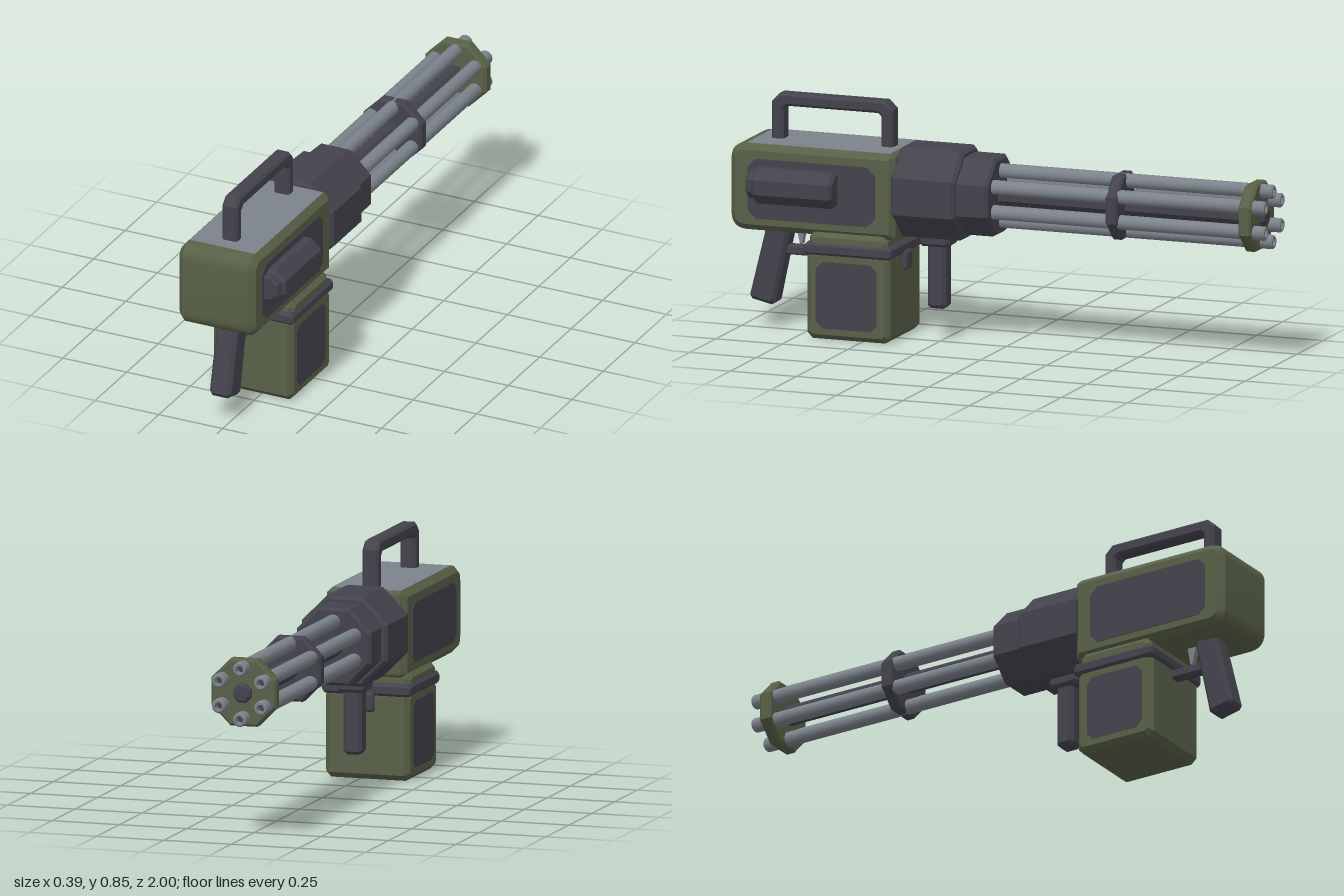
import * as THREE from 'three';
import { toCreasedNormals } from 'three/addons/utils/BufferGeometryUtils.js';

const CX = -0.03;   // centre plane of the body
const AY = 0.535;   // height of the barrel axis

export function createModel() {
  const group = new THREE.Group();
  group.name = 'rotaryGun';
  const mat = (name, color) => {
    const m = new THREE.MeshStandardMaterial({ color });
    m.name = name;
    return m;
  };
  const green = mat('oliveGreen', 0x586047);
  const dark = mat('darkGunmetal', 0x44434d);
  const steel = mat('steelGrey', 0x7b828a);

  const add = (name, geometry, material, parent = group) => {
    const mesh = new THREE.Mesh(geometry, material);
    mesh.name = name;
    parent.add(mesh);
    return mesh;
  };

  // Closed outline whose corners are cut (or rounded) by the radius of each point [x, y, r]
  const outline = (pts, round = false) => {
    const shape = new THREE.Shape();
    pts.forEach(([x, y, r = 0], i) => {
      const p = new THREE.Vector2(x, y);
      const toward = (q) => {
        const v = new THREE.Vector2(q[0], q[1]).sub(p);
        return v.setLength(r).add(p);
      };
      const a = toward(pts[(i + pts.length - 1) % pts.length]);
      const b = toward(pts[(i + 1) % pts.length]);
      if (i === 0) shape.moveTo(a.x, a.y); else shape.lineTo(a.x, a.y);
      if (r > 0 && round) shape.quadraticCurveTo(x, y, b.x, b.y);
      else if (r > 0) shape.lineTo(b.x, b.y);
    });
    shape.closePath();
    return shape;
  };

  const extrude = (shape, length, bevel) => new THREE.ExtrudeGeometry(shape, {
    depth: length - 2 * bevel, bevelEnabled: bevel > 0, bevelThickness: bevel, bevelSize: bevel,
    bevelOffset: -bevel, bevelSegments: 1, curveSegments: 6,
  }).translate(0, 0, bevel - length / 2);

  // Side profile given as [z, y, r], extruded across x
  const sidePart = (pts, width, bevel, x = CX, round = false) =>
    extrude(outline(pts.map(([z, y, r]) => [-z, y, r]), round), width, bevel)
      .rotateY(Math.PI / 2).translate(x, 0, 0);

  const rect = (z0, z1, y0, y1, r = 0) => [[z0, y0, r], [z1, y0, r], [z1, y1, r], [z0, y1, r]];

  // Bevelled octagonal prism along z, sized by the distance from centre to flat
  const octagon = (flat, z0, z1, bevel, x = CX, y = AY) => {
    const pts = [];
    for (let i = 0; i < 8; i++) {
      const a = Math.PI / 8 + i * Math.PI / 4, r = flat / Math.cos(Math.PI / 8);
      pts.push([r * Math.cos(a), r * Math.sin(a)]);
    }
    return extrude(outline(pts), z1 - z0, bevel).translate(x, y, (z0 + z1) / 2);
  };

  // Receiver with a rounded butt end and a flat top plate
  const body = [[0.38, 0.37, 0.02], [1, 0.37, 0.06], [1, 0.68, 0.06], [0.38, 0.68, 0.02]];
  add('receiver', toCreasedNormals(sidePart(body, 0.3, 0.022, CX, true), 0.5), green);
  add('topPlate', new THREE.BoxGeometry(0.256, 0.006, 0.54).translate(CX, 0.679, 0.67), steel);

  // Thin panels on both sides of the receiver and magazine
  for (const s of [1, -1]) {
    add('receiverPanel', sidePart(rect(0.45, 0.93, 0.415, 0.63, 0.03), 0.008, 0, CX + s * 0.149), dark);
    add('magazinePanel', sidePart(rect(0.44, 0.67, 0.04, 0.28, 0.025), 0.008, 0, CX + s * 0.154), dark);
  }

  // Motor pod on the left side
  add('motorPod', octagon(0.0635, 0.59, 0.895, 0.012, 0.127, 0.541), dark);
  add('motorPodCap', octagon(0.05, 0.88, 0.92, 0.008, 0.127, 0.543), dark);

  // Carrying handle
  add('carryHandle', sidePart([
    [0.43, 0.67], [0.43, 0.845, 0.03], [0.888, 0.845, 0.03], [0.888, 0.67],
    [0.843, 0.67], [0.843, 0.8, 0.012], [0.475, 0.8, 0.012], [0.475, 0.67],
  ].reverse(), 0.06, 0.009), dark);

  // Drum housing in two steps
  add('drumHousing', octagon(0.16, 0.148, 0.39, 0.012), dark);
  add('drumCollar', octagon(0.138, 0.03, 0.16, 0.01), dark);

  // Barrel cluster: six hollow barrels round a spindle, held by two rings
  const cluster = new THREE.Group();
  cluster.name = 'barrelCluster';
  group.add(cluster);
  const profile = [[0.026, -0.05], [0.026, 0.994], [0.021, 1], [0.014, 1], [0.014, 0.97], [0, 0.97]]
    .map(([r, l]) => new THREE.Vector2(r, l));
  const barrelGeo = toCreasedNormals(
    new THREE.LatheGeometry(profile, 12).rotateX(-Math.PI / 2), 0.6);
  for (let i = 0; i < 6; i++) {
    const a = Math.PI / 2 + i * Math.PI / 3;
    const x = CX + 0.09 * Math.cos(a), y = AY + 0.09 * Math.sin(a);
    add('barrel', barrelGeo, steel, cluster).position.set(x, y, 0);
    const bore = new THREE.CircleGeometry(0.0139, 12).rotateY(Math.PI);
    add('bore', bore, dark, cluster).position.set(x, y, -0.972);
  }
  add('spindle', octagon(0.033, -0.975, 0.05, 0.008), dark, cluster);
  add('middleRing', octagon(0.115, -0.45, -0.405, 0.008), dark, cluster);
  add('muzzleRing', octagon(0.12, -0.955, -0.908, 0.008), green, cluster);

  // Ammunition box with neck, rim and latch
  add('magazine', sidePart(rect(0.395, 0.708, 0, 0.32, 0.02), 0.314, 0.018), green);
  add('magazineNeck', sidePart(rect(0.405, 0.7, 0.32, 0.385, 0.02), 0.314, 0.018), green);
  add('magazineRim', sidePart(rect(0.385, 0.715, 0.302, 0.347, 0.01), 0.33, 0.01), dark);
  add('magazineLatch', sidePart(rect(0.375, 0.42, 0.245, 0.315, 0.008), 0.06, 0.006), dark);

  // Pistol grip, trigger and guard
  add('pistolGrip', sidePart([
    [0.81, 0.39], [0.875, 0.081, 0.012], [0.971, 0.103, 0.012], [0.9, 0.39],
  ], 0.084, 0.013), dark);
  add('trigger', sidePart([[0.765, 0.38], [0.778, 0.305], [0.787, 0.305], [0.805, 0.38]], 0.024, 0.002), steel);
  add('triggerGuard', sidePart(rect(0.69, 0.86, 0.266, 0.3), 0.045, 0.006), dark);

  // Fore grip hanging under the drum
  add('foreGripMount', sidePart(rect(0.21, 0.325, 0.34, 0.39, 0.012), 0.1, 0.01), dark);
  add('foreGrip', sidePart(rect(0.23, 0.3, 0.115, 0.36, 0.012), 0.07, 0.013), dark);

  return group;
}
